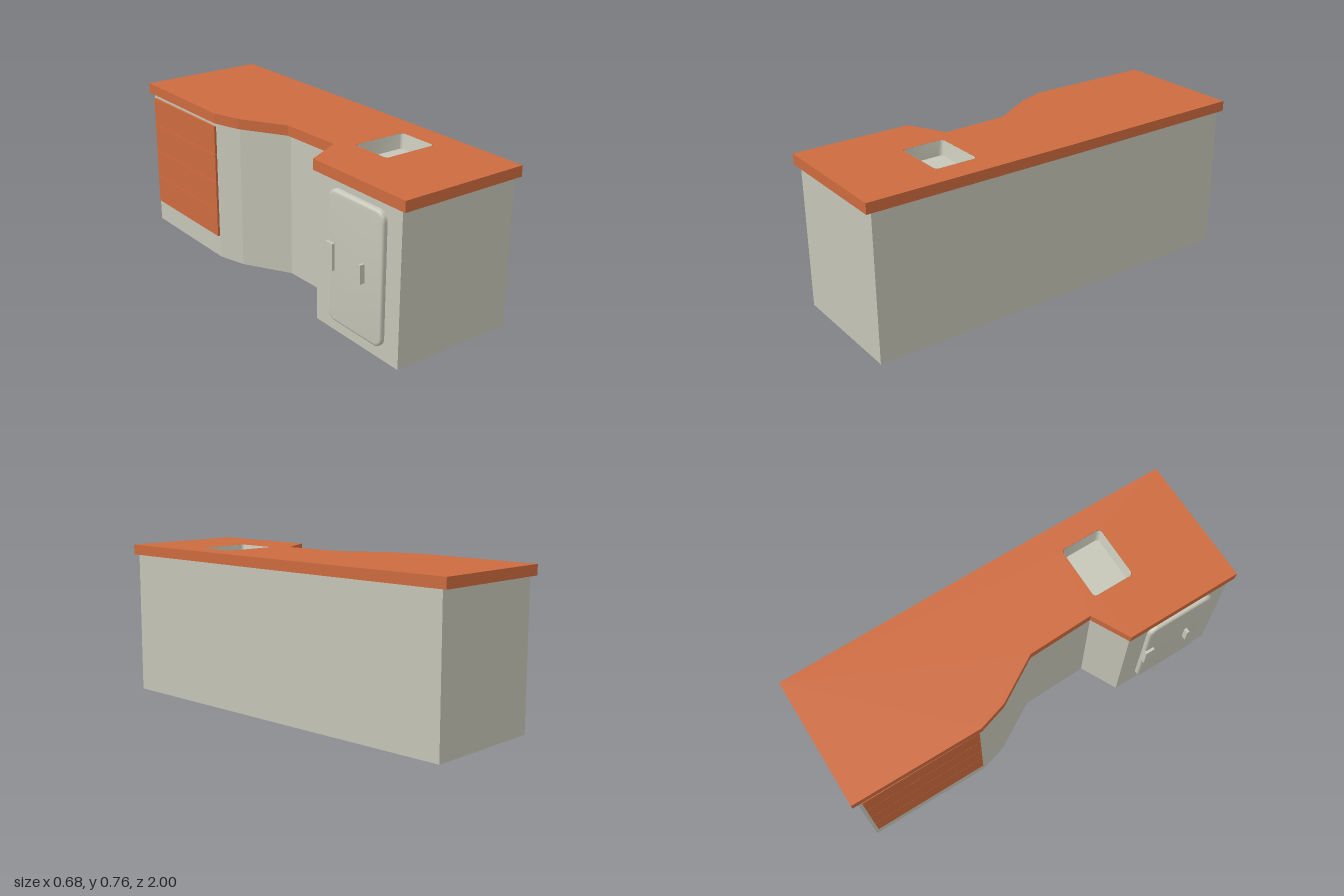
import * as THREE from 'three';
import { toCreasedNormals } from 'three/addons/utils/BufferGeometryUtils.js';

const enamel = new THREE.MeshStandardMaterial({ color: 0xc6c6b8, side: THREE.DoubleSide });
enamel.name = 'pale grey enamel';
const wood = new THREE.MeshStandardMaterial({ color: 0xcd6b3f });
wood.name = 'orange wood';

// Plan outlines as [x, z]
const topPlan = [
  [-0.31, -1], [0.333, -1], [0.338, 0], [0.333, 1], [-0.308, 1],
  [-0.31, 0.42], [-0.127, 0.325], [-0.138, 0], [-0.27, -0.22], [-0.313, -0.36],
];
const bodyPlan = [
  [-0.296, -0.973], [0.32, -0.973], [0.323, 0], [0.321, 0.973], [-0.295, 0.973],
  [-0.295, 0.43], [-0.113, 0.338], [-0.123, 0], [-0.256, -0.225], [-0.297, -0.365],
];

function mesh(group, name, geometry, material) {
  const m = new THREE.Mesh(geometry, material);
  m.name = name;
  group.add(m);
  return m;
}

// Box given by its minimum and maximum corners
function box(group, name, [x0, y0, z0], [x1, y1, z1], material) {
  const m = mesh(group, name, new THREE.BoxGeometry(x1 - x0, y1 - y0, z1 - z0), material);
  m.position.set((x0 + x1) / 2, (y0 + y1) / 2, (z0 + z1) / 2);
}

function polygon(points) {
  return points.map(([x, y]) => new THREE.Vector2(x, y));
}

function roundedRect(x0, y0, x1, y1, r) {
  const s = new THREE.Shape();
  s.absarc(x1 - r, y1 - r, r, 0, Math.PI / 2);
  s.absarc(x0 + r, y1 - r, r, Math.PI / 2, Math.PI);
  s.absarc(x0 + r, y0 + r, r, Math.PI, Math.PI * 1.5);
  s.absarc(x1 - r, y0 + r, r, Math.PI * 1.5, Math.PI * 2);
  s.closePath();
  return s;
}

// Flat-sided wall joining two closed plan loops at different heights
function wall(lower, yLow, upper, yHigh) {
  const pos = [];
  for (let i = 0; i < lower.length; i++) {
    const j = (i + 1) % lower.length;
    const a = [lower[i][0], yLow, lower[i][1]];
    const b = [lower[j][0], yLow, lower[j][1]];
    const c = [upper[j][0], yHigh, upper[j][1]];
    const d = [upper[i][0], yHigh, upper[i][1]];
    pos.push(...a, ...c, ...b, ...a, ...d, ...c);
  }
  const g = new THREE.BufferGeometry();
  g.setAttribute('position', new THREE.Float32BufferAttribute(pos, 3));
  g.computeVertexNormals();
  return g;
}

export function createModel() {
  const model = new THREE.Group();
  model.name = 'kitchenCounter';

  // Cabinet walls, open underneath
  mesh(model, 'cabinetWalls', wall(bodyPlan, 0, bodyPlan, 0.715), enamel);

  // Worktop with a sink cut-out
  const top = new THREE.Shape(polygon(topPlan));
  top.holes.push(roundedRect(-0.06, 0.39, 0.212, 0.6, 0.015));
  const topGeo = new THREE.ExtrudeGeometry(top, { depth: 0.05, bevelEnabled: false, curveSegments: 4 });
  topGeo.rotateX(Math.PI / 2).translate(0, 0.757, 0);
  mesh(model, 'worktop', topGeo, wood);

  // Sink basin, tapering to its floor
  const sink = new THREE.Group();
  sink.name = 'sink';
  const loop = (inset) => roundedRect(-0.06 + inset, 0.39 + inset, 0.212 - inset, 0.6 - inset, 0.018)
    .getPoints(4).slice(0, -1).map((p) => [p.x, p.y]);
  const rim = loop(0.001), floor = loop(0.014);
  const sinkWall = wall(rim.slice().reverse(), 0.757, floor.slice().reverse(), 0.69);
  mesh(sink, 'sinkWall', toCreasedNormals(sinkWall, 0.7), enamel);
  const floorGeo = new THREE.ShapeGeometry(new THREE.Shape(polygon(floor.map(([x, z]) => [x, -z]))));
  floorGeo.rotateX(-Math.PI / 2).translate(0, 0.69, 0);
  mesh(sink, 'sinkFloor', floorGeo, enamel);
  model.add(sink);

  // Drawer stack: housing inside the cabinet and four fronts
  const drawers = new THREE.Group();
  drawers.name = 'drawers';
  box(drawers, 'drawerHousing', [-0.299, 0.113, -0.955], [0.05, 0.685, -0.372], enamel);
  const step = 0.1437;
  for (let i = 0; i < 4; i++) {
    const y = 0.112 + i * step;
    box(drawers, 'drawerFront', [-0.308, y + 0.001, -0.956], [-0.295, y + step - 0.001, -0.37], wood);
  }
  model.add(drawers);

  // Built-in refrigerator with rounded door
  const fridge = new THREE.Group();
  fridge.name = 'refrigerator';
  const doorGeo = new THREE.ExtrudeGeometry(roundedRect(0.535, 0.06, 0.886, 0.67, 0.045), {
    depth: 0.495, bevelThickness: 0.011, bevelSize: 0.013, bevelOffset: -0.013,
    bevelSegments: 3, curveSegments: 6,
  });
  doorGeo.rotateY(-Math.PI / 2).translate(0.188, 0, 0);
  mesh(fridge, 'refrigeratorDoor', toCreasedNormals(doorGeo, 0.6), enamel);
  box(fridge, 'hinge', [-0.331, 0.303, 0.535], [-0.3, 0.428, 0.582], enamel);
  box(fridge, 'doorHandle', [-0.342, 0.323, 0.767], [-0.31, 0.41, 0.78], enamel);
  model.add(fridge);

  return model;
}
